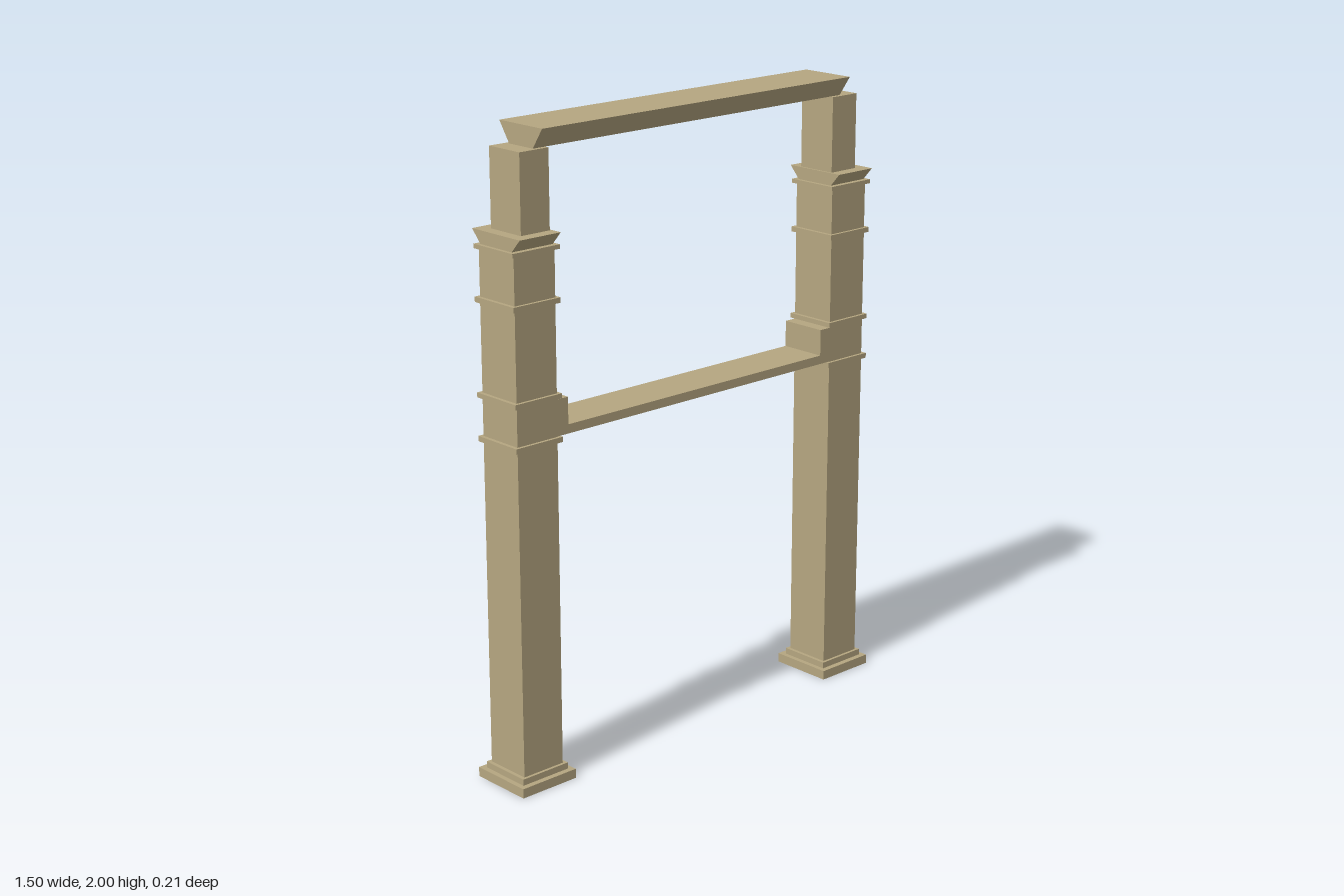
import * as THREE from 'three';

export function createModel() {
  const model = new THREE.Group();
  model.name = 'gateFrame';
  const stone = new THREE.MeshStandardMaterial({ color: 0xb5a680 });
  stone.name = 'sandstone';

  const add = (parent, name, geometry) => {
    const mesh = new THREE.Mesh(geometry, stone);
    mesh.name = name;
    parent.add(mesh);
    return mesh;
  };

  // Box given by width, depth and its bottom and top heights
  const block = (parent, name, w, d, y0, y1) => {
    add(parent, name, new THREE.BoxGeometry(w, y1 - y0, d)).position.y = (y0 + y1) / 2;
  };

  // Outline extruded symmetrically about its own plane
  const prism = (points, depth) => {
    const shape = new THREE.Shape(points.map(([x, y]) => new THREE.Vector2(x, y)));
    return new THREE.ExtrudeGeometry(shape, { depth, bevelEnabled: false }).translate(0, 0, -depth / 2);
  };

  // Bar running along x that flares outward to front and back
  const flaredBar = (parent, name, length, bottom, top, y0, y1) => {
    const outline = [[-bottom, y0], [bottom, y0], [top, y1], [-top, y1]];
    add(parent, name, prism(outline, length).rotateY(Math.PI / 2));
  };

  // Posts with plinth, bands, capital and upper stub
  for (const [side, name] of [[1, 'leftPost'], [-1, 'rightPost']]) {
    const post = new THREE.Group();
    post.name = name;
    post.position.x = side * 0.645;
    block(post, 'plinth', 0.206, 0.21, 0, 0.03);
    block(post, 'plinthStep', 0.174, 0.174, 0.03, 0.05);
    block(post, 'shaft', 0.15, 0.155, 0.05, 1.66);
    for (const [y0, y1] of [[1.071, 1.087], [1.204, 1.219], [1.489, 1.505], [1.647, 1.66]]) {
      block(post, 'band', 0.174, 0.174, y0, y1);
    }
    flaredBar(post, 'capital', 0.15, 0.07, 0.106, 1.66, 1.7);
    const upper = new THREE.Group();
    upper.name = 'upperPost';
    upper.position.x = side * -0.015;
    block(upper, 'upperShaft', 0.106, 0.133, 1.7, 1.938);
    post.add(upper);
    model.add(post);
  }

  // Middle tie beam with raised end brackets, flush with the shafts
  const half = [[0.57, 1.088], [0.57, 1.2], [0.528, 1.2], [0.528, 1.116]];
  const mirrored = half.map(([x, y]) => [-x, y]).reverse();
  add(model, 'tieBeam', prism([...half, ...mirrored], 0.155));

  // Flared top beam
  flaredBar(model, 'topBeam', 1.244, 0.052, 0.094, 1.938, 2);

  return model;
}
